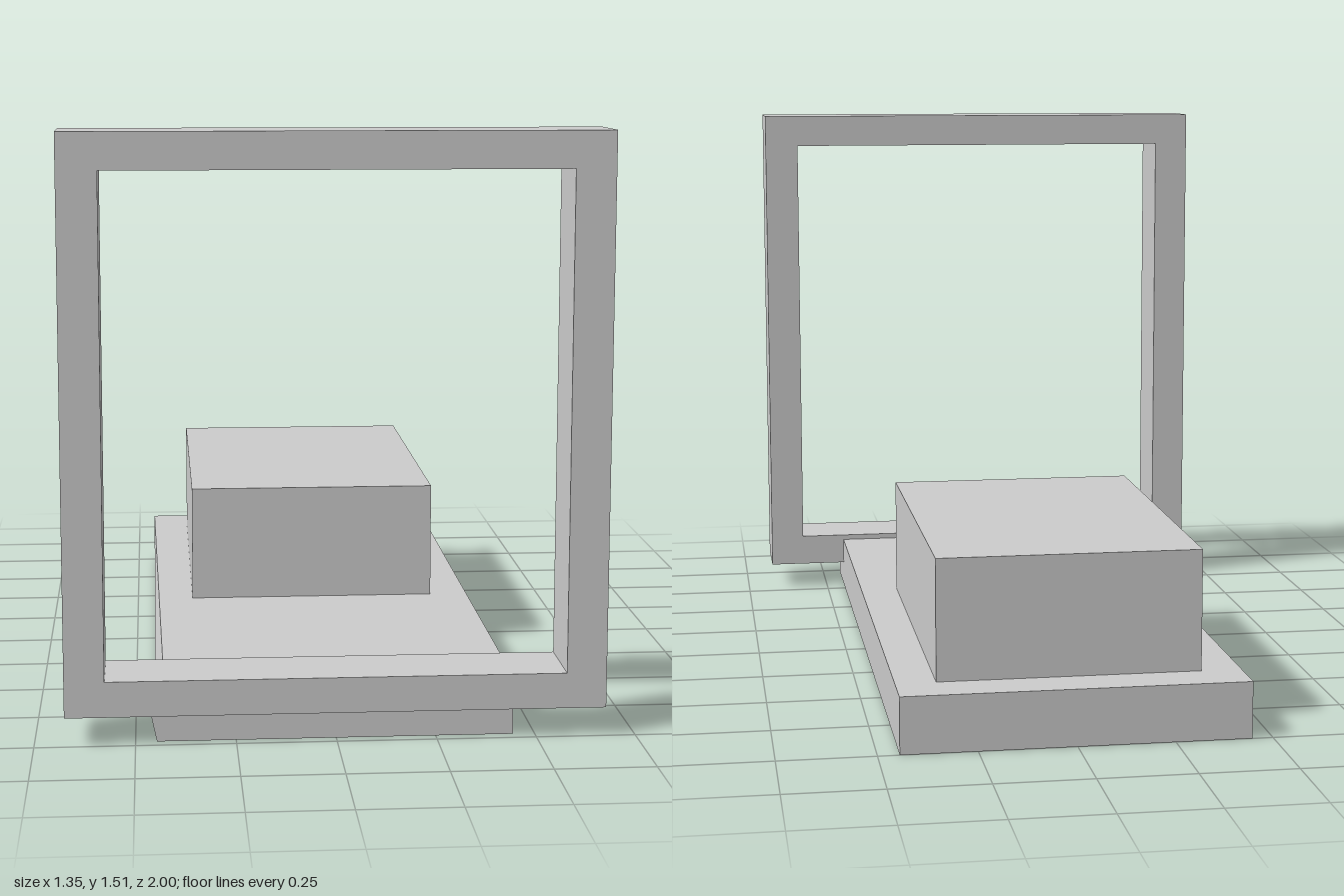
import * as THREE from 'three';

const material = new THREE.MeshStandardMaterial({ color: 0xcccccc, flatShading: true });

function addMesh(group, name, geometry) {
  const mesh = new THREE.Mesh(geometry, material);
  mesh.name = name;
  group.add(mesh);
  return mesh;
}

// Rectangle outline, usable as a shape or a hole
function rectangle(Type, x, y0, y1) {
  return new Type([[-x, y0], [x, y0], [x, y1], [-x, y1]].map(p => new THREE.Vector2(...p)));
}

// Joins equal-length cross-sections [{ z, points }] from back to front and caps the ends
function loft(sections) {
  const positions = [];
  const corner = (s, i) => [...s.points[i], s.z];
  const triangle = (a, b, c) => positions.push(...a, ...b, ...c);
  const n = sections[0].points.length;
  for (let k = 0; k < sections.length - 1; k++) {
    const back = sections[k], front = sections[k + 1];
    for (let i = 0; i < n; i++) {
      const j = (i + 1) % n;
      triangle(corner(back, i), corner(back, j), corner(front, j));
      triangle(corner(back, i), corner(front, j), corner(front, i));
    }
  }
  const first = sections[0], last = sections[sections.length - 1];
  for (let i = 1; i < n - 1; i++) {
    triangle(corner(first, 0), corner(first, i + 1), corner(first, i));
    triangle(corner(last, 0), corner(last, i), corner(last, i + 1));
  }
  const geometry = new THREE.BufferGeometry();
  geometry.setAttribute('position', new THREE.Float32BufferAttribute(positions, 3));
  geometry.computeVertexNormals();
  return geometry;
}

export function createModel() {
  const model = new THREE.Group();
  model.name = 'model';

  // Base slab, its right edge tapering into a slight bevel at the front
  const section = (z, mid, top) => ({
    z,
    points: [[-0.447, 0], [0.445, 0], [0.445, 0.148], [top, 0.148], [mid, 0.08]],
  });
  addMesh(model, 'base', loft([
    section(-1, -0.447, -0.447),
    section(0.8, -0.45, -0.43),
    section(0.97, -0.464, -0.43),
  ]));

  // Block on the rear of the base
  addMesh(model, 'block', new THREE.BoxGeometry(0.682, 0.317, 1.003))
    .position.set(0, 0.3065, -0.383);

  // Upright open frame at the front
  const outline = rectangle(THREE.Shape, 0.675, 0.073, 1.51);
  outline.holes.push(rectangle(THREE.Path, 0.575, 0.163, 1.417));
  addMesh(model, 'frame', new THREE.ExtrudeGeometry(outline, { depth: 0.197, bevelEnabled: false }))
    .position.z = 0.803;

  return model;
}
